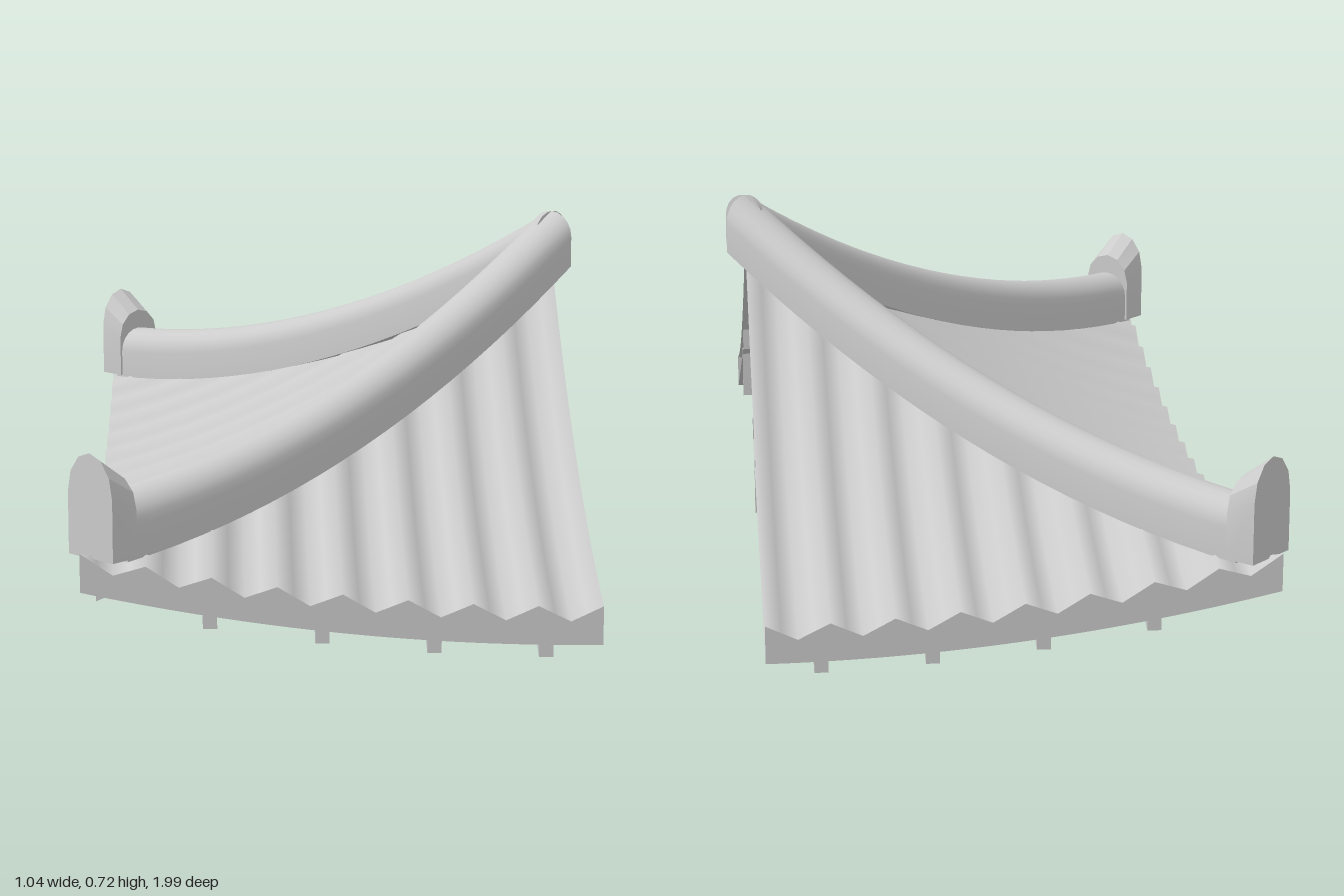
import * as THREE from 'three';
import { toCreasedNormals } from 'three/addons/utils/BufferGeometryUtils.js';

const R = 0.975;       // half side of the square roof plan
const CX = 0.475;      // x of the roof centre
const INNER = 0.36;    // half side of the soffit opening
const WAVE = R / 8;    // tile row spacing

const mat = new THREE.MeshStandardMaterial({ color: 0xcccccc, side: THREE.DoubleSide });

// d = distance out from the roof centre, w = distance along the eave
const lift = (w) => 0.11 * (w / R) ** 2;
const slope = (d) => { const t = 1 - d / R; return 0.09 + 0.25 * t + 0.27 * t * t; };
const tileY = (d, w) => slope(d) + lift(w) + 0.0145 * Math.cos((2 * Math.PI * w) / WAVE);
const soffitY = (d, w) => 0.03 + 0.415 * (R - d) + lift(w);

// Grid surface from a rule fn(s, t) -> [x, y, z]
function grid(n, m, fn) {
  const pos = [], idx = [];
  for (let i = 0; i <= n; i++) for (let j = 0; j <= m; j++) pos.push(...fn(i / n, j / m));
  for (let i = 0; i < n; i++) for (let j = 0; j < m; j++) {
    const a = i * (m + 1) + j, b = a + m + 1;
    idx.push(a, a + 1, b, b, a + 1, b + 1);
  }
  const g = new THREE.BufferGeometry();
  g.setAttribute('position', new THREE.Float32BufferAttribute(pos, 3));
  g.setIndex(idx);
  g.computeVertexNormals();
  return g;
}

function add(parent, name, geometry) {
  const m = new THREE.Mesh(geometry, mat);
  m.name = name;
  parent.add(m);
  return m;
}

// Corrugated tiles on half a roof slope, with normals taken from the rule
function tileGeometry() {
  const g = grid(32, 18, (s, t) => {
    const w = s * R, d = w + (R - w) * t;
    return [-d, tileY(d, w), w];
  });
  const p = g.attributes.position, e = 0.001, n = new THREE.Vector3();
  for (let i = 0; i < p.count; i++) {
    const d = -p.getX(i), w = p.getZ(i);
    n.set((tileY(d + e, w) - tileY(d - e, w)) / (2 * e), 1,
      -(tileY(d, w + e) - tileY(d, w - e)) / (2 * e)).normalize();
    g.attributes.normal.setXYZ(i, n.x, n.y, n.z);
  }
  return g;
}

// Underside sheet between w0 and w1, running from max(INNER, w) out to the eave
function soffitGeometry(w0, w1) {
  return grid(10, 6, (s, t) => {
    const w = w0 + (w1 - w0) * s, start = Math.max(INNER, w);
    const d = start + (R - start) * t;
    return [-d, soffitY(d, w), w];
  });
}

// Sloping square bar under the soffit
function rafterGeometry(w) {
  const d0 = Math.max(INNER, w), d1 = 0.955, width = 0.027;
  const a = soffitY(d0, w), b = soffitY(d1, w);
  const shape = new THREE.Shape([
    new THREE.Vector2(-d1, b - 0.038), new THREE.Vector2(-d0, a - 0.038),
    new THREE.Vector2(-d0, a + 0.003), new THREE.Vector2(-d1, b + 0.003),
  ]);
  return new THREE.ExtrudeGeometry(shape, { depth: width, bevelEnabled: false })
    .translate(0, 0, w - width / 2);
}

// Half of one roof slope
function halfSlope() {
  const g = new THREE.Group();
  add(g, 'roofTiles', tileGeometry());
  add(g, 'eaveFascia', grid(32, 1, (s, t) => {
    const w = s * R;
    return [-R, t ? soffitY(R, w) : tileY(R, w), w];
  }));
  add(g, 'innerSoffit', soffitGeometry(0, INNER));
  add(g, 'cornerSoffit', soffitGeometry(INNER, R));
  add(g, 'soffitLip', grid(6, 1, (s, t) => {
    const w = s * INNER;
    return [-INNER, soffitY(INNER, w) + 0.045 * t, w];
  }));
  for (let k = 0; k < 4; k++) add(g, 'rafter', rafterGeometry(0.105 + 0.21 * k));
  return g;
}

// Arch outline: flat base, straight sides, rounded top; unit half width and height
function archPoints(shoulder, n) {
  const pts = [[-1, 0]];
  for (let i = 0; i <= n; i++) {
    const a = Math.PI * (1 - i / n);
    pts.push([Math.cos(a), shoulder + (1 - shoulder) * Math.sin(a)]);
  }
  pts.push([1, 0], [-1, 0]);
  return pts;
}

// Sweep an arch down the hip; stations are [d, baseY, halfWidth, height]
function hipSweep(stations, outline, crease) {
  const first = stations[0], last = stations[stations.length - 1];
  const all = [[first[0], first[1], 0, 0], ...stations, [last[0], last[1], 0, 0]];
  const n = all.length - 1, m = outline.length - 1;
  const g = grid(n, m, (s, t) => {
    const [d, y, hw, h] = all[Math.round(s * n)];
    const [px, py] = outline[Math.round(t * m)];
    const o = px * hw * Math.SQRT1_2;
    return [-d + o, y + py * h, d + o];
  });
  return toCreasedNormals(g, crease);
}

export function createModel() {
  const model = new THREE.Group();
  model.name = 'hippedRoofEnd';

  // Four half slopes: the full end slope and one half slope on each side
  for (const [name, turn, flip] of [
    ['endSlopeLeft', 0, 1], ['endSlopeRight', 0, -1],
    ['frontSlope', Math.PI / 2, -1], ['backSlope', -Math.PI / 2, 1],
  ]) {
    const half = halfSlope();
    half.name = name;
    half.position.x = CX;
    half.rotation.y = turn;
    half.scale.z = flip;
    model.add(half);
  }

  // Curved hip ridges with upright end tiles
  const ridge = [];
  for (let i = 0; i <= 20; i++) {
    const d = (0.925 * i) / 20;
    ridge.push([d, slope(d) + lift(d) - 0.008, 0.055, 0.115]);
  }
  const endTile = [[0.912, 0.2, 0.06, 0.155], [0.955, 0.2, 0.06, 0.2]];
  for (const side of [1, -1]) {
    const g = new THREE.Group();
    g.name = side > 0 ? 'frontHip' : 'backHip';
    g.position.x = CX;
    g.scale.z = side;
    add(g, 'hipRidge', hipSweep(ridge, archPoints(0.55, 10), 0.7));
    add(g, 'hipEndTile', hipSweep(endTile, archPoints(0.6, 6), 0.3));
    model.add(g);
  }

  // Wall plates under the soffit
  const W = 0.44, h = 0.11, y = 0.155 + h / 2, thick = 0.008;
  add(model, 'endWallPlate', new THREE.BoxGeometry(thick, h, 2 * W)).position.set(CX - W, y, 0);
  for (const side of [1, -1]) {
    add(model, 'sideWallPlate', new THREE.BoxGeometry(W, h, thick))
      .position.set(CX - W / 2, y, side * W);
  }
  return model;
}
